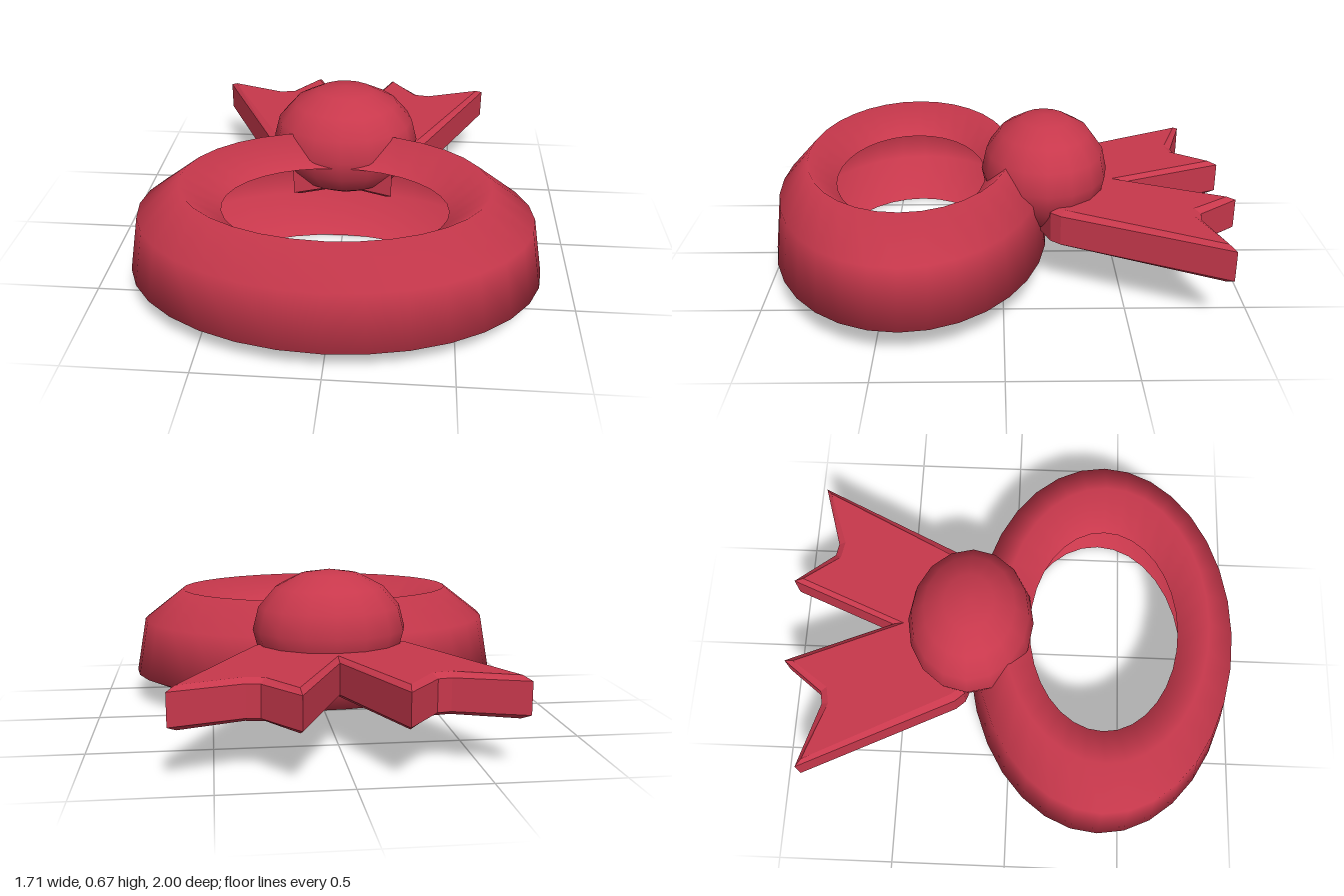
import * as THREE from 'three';

export function createModel() {
  const model = new THREE.Group();
  const red = new THREE.MeshStandardMaterial({ color: 0xc8384c, side: THREE.DoubleSide });
  red.name = 'ribbon red';

  const add = (name, geometry) => {
    const mesh = new THREE.Mesh(geometry, red);
    mesh.name = name;
    model.add(mesh);
    return mesh;
  };

  // Oval ring: open hollow shell, from the foot round the outside and over the top to the inner rim
  const profile = [
    [0.575, 0], [0.855, 0.12], [0.81, 0.37], [0.63, 0.51], [0.465, 0.39],
  ].map(([r, y]) => new THREE.Vector2(r, y));
  const ring = add('ring', new THREE.LatheGeometry(profile, 32));
  ring.scale.z = 0.7;
  ring.position.z = 0.4;

  // Rounded knot sitting on the back of the ring
  const knot = add('knot', new THREE.SphereGeometry(1, 16, 8));
  knot.scale.set(0.325, 0.252, 0.275);
  knot.position.set(0, 0.42, -0.185);

  // Two bevelled ribbon tails, notched at the end and crossing inside the ring
  const outline = [
    [-0.22, 0], [0.31, 0.2], [0.345, 0.24], [0.66, 0.9],
    [0.38, 0.815], [0.325, 0.825], [0.19, 1.0],
  ];
  const bevelSize = 0.03;
  const bevelThickness = 0.018;
  for (const [side, name] of [[1, 'leftTail'], [-1, 'rightTail']]) {
    const shape = new THREE.Shape(outline.map(([x, y]) => new THREE.Vector2(side * x, y)));
    const tail = new THREE.ExtrudeGeometry(shape, {
      depth: 0.165 - 2 * bevelThickness,
      bevelEnabled: true,
      bevelThickness,
      bevelSize,
      bevelOffset: -bevelSize,
      bevelSegments: 1,
    });
    tail.rotateX(-Math.PI / 2);
    add(name, tail).position.y = 0.2 + bevelThickness;
  }

  return model;
}
